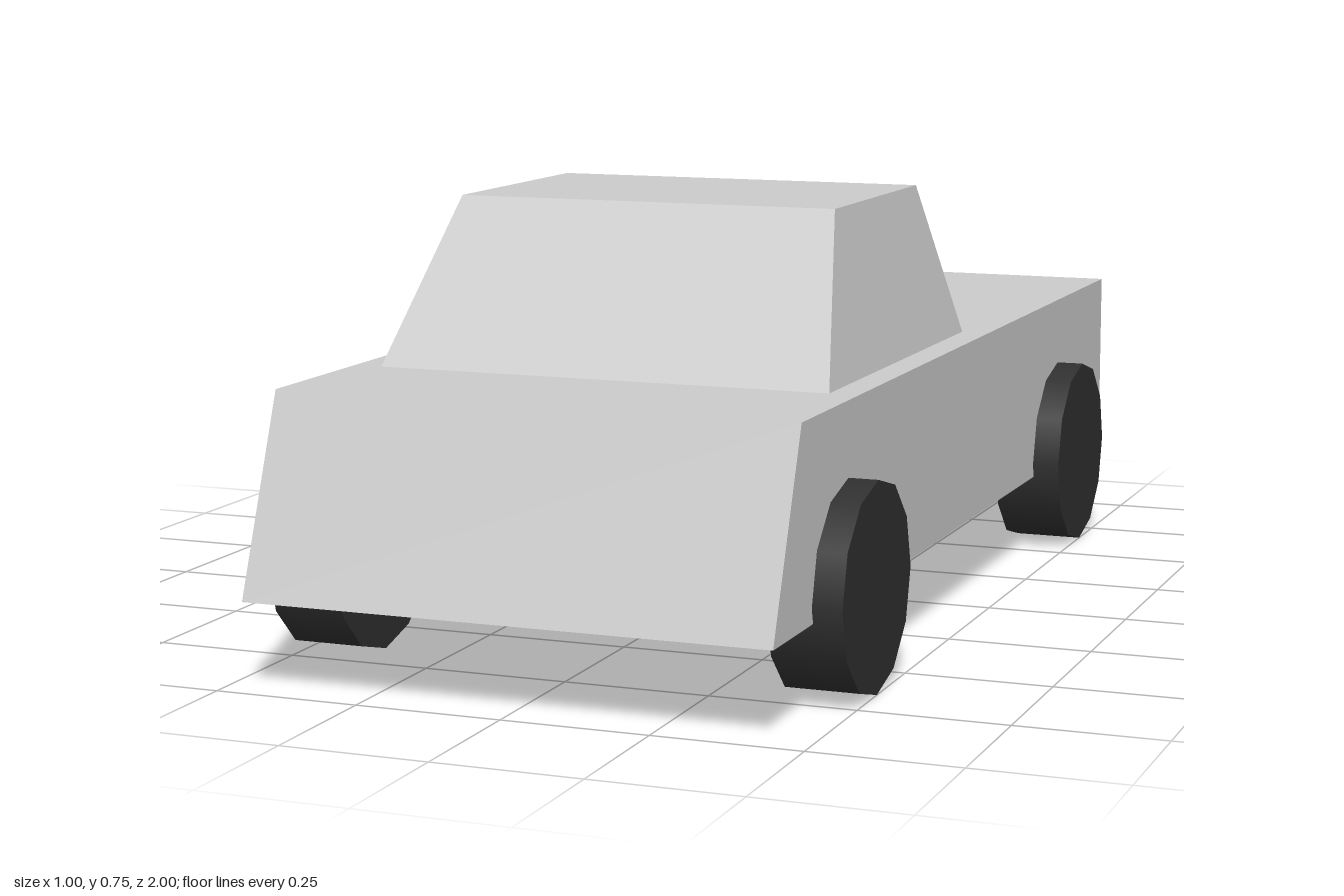
import * as THREE from 'three';

// Box whose bottom and top rectangles differ: each is { y, x: half width, back, front }
function taperedBox(bottom, top) {
  const geometry = new THREE.BoxGeometry(1, 1, 1);
  const p = geometry.attributes.position;
  for (let i = 0; i < p.count; i++) {
    const level = p.getY(i) > 0 ? top : bottom;
    p.setXYZ(i, Math.sign(p.getX(i)) * level.x, level.y, p.getZ(i) > 0 ? level.front : level.back);
  }
  geometry.computeVertexNormals();
  return geometry;
}

export function createModel() {
  const paint = new THREE.MeshStandardMaterial({ color: 0xcccccc });
  paint.name = 'light grey paint';
  const rubber = new THREE.MeshStandardMaterial({ color: 0x303030 });
  rubber.name = 'dark rubber';

  const model = new THREE.Group();
  model.name = 'car';
  const add = (name, geometry, material) => {
    const mesh = new THREE.Mesh(geometry, material);
    mesh.name = name;
    model.add(mesh);
    return mesh;
  };

  // Lower body with a sloping nose
  add('body', taperedBox(
    { y: 0.15, x: 0.45, back: -1, front: 1 },
    { y: 0.475, x: 0.45, back: -1, front: 0.875 }), paint);

  // Cabin tapering to the roof
  add('cabin', taperedBox(
    { y: 0.475, x: 0.4, back: -0.15, front: 0.6 },
    { y: 0.75, x: 0.34, back: -0.05, front: 0.4 }), paint);

  // Four twelve-sided wheels
  const wheel = new THREE.CylinderGeometry(0.175, 0.175, 0.125, 12).rotateZ(Math.PI / 2);
  for (const [end, z] of [['front', 0.65], ['back', -0.65]]) {
    for (const [side, x] of [['Left', 0.4375], ['Right', -0.4375]]) {
      add(`${end}${side}Wheel`, wheel, rubber).position.set(x, 0.175, z);
    }
  }
  return model;
}
